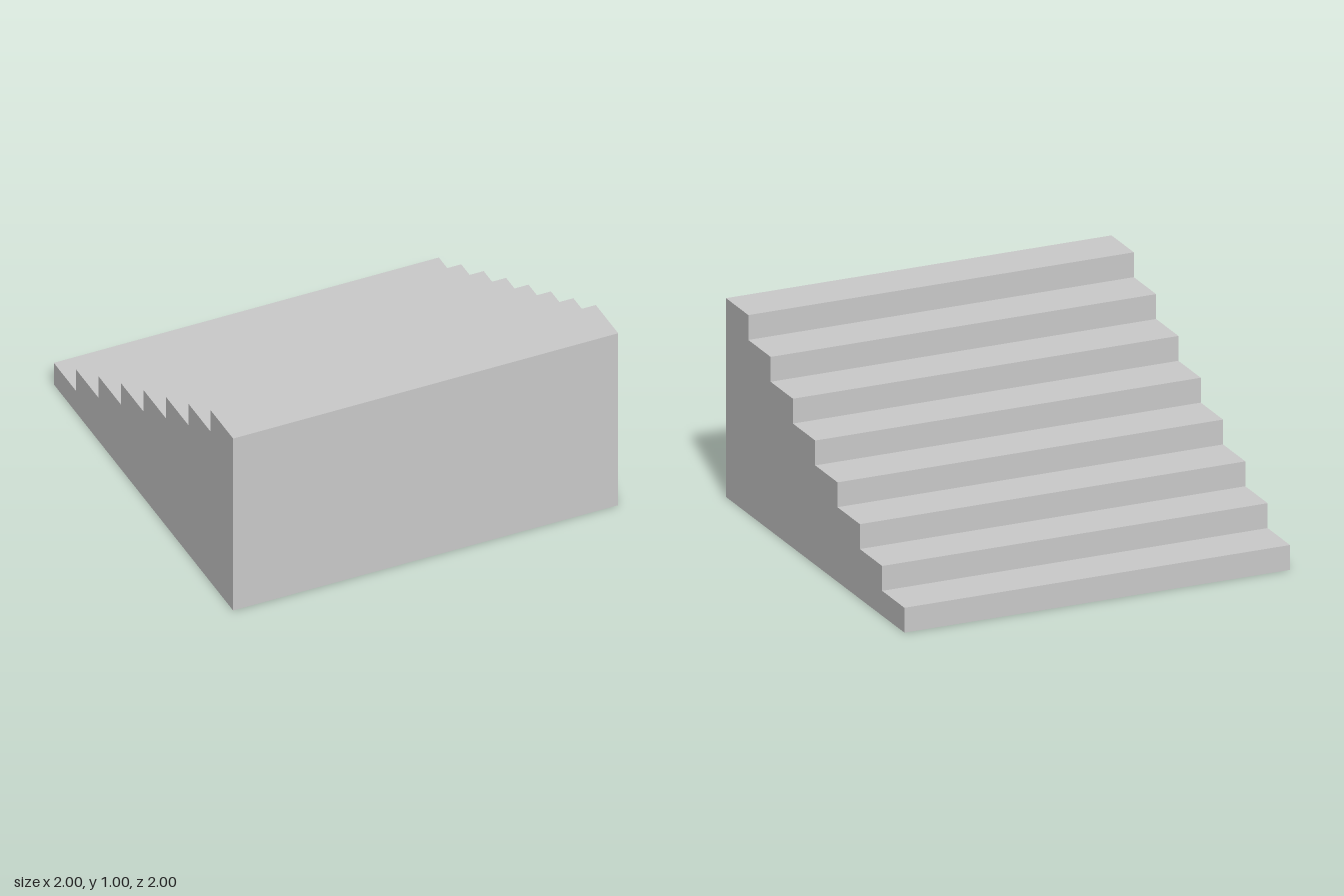
import * as THREE from 'three';

const STEPS = 8;
const WIDTH = 2;
const DEPTH = 2;
const HEIGHT = 1;

export function createModel() {
  const model = new THREE.Group();
  model.name = 'staircase';

  // Side profile: shape x becomes z, with the lowest step at the back
  const tread = DEPTH / STEPS;
  const riser = HEIGHT / STEPS;
  const profile = new THREE.Shape();
  profile.moveTo(-DEPTH / 2, 0);
  profile.lineTo(DEPTH / 2, 0);
  for (let i = STEPS; i > 0; i--) {
    profile.lineTo(-DEPTH / 2 + i * tread, i * riser);
    profile.lineTo(-DEPTH / 2 + (i - 1) * tread, i * riser);
  }
  profile.closePath();

  // Solid flight of steps, extruded across the width
  const geometry = new THREE.ExtrudeGeometry(profile, { depth: WIDTH, bevelEnabled: false });
  geometry.translate(0, 0, -WIDTH / 2);
  geometry.rotateY(-Math.PI / 2);

  const steps = new THREE.Mesh(
    geometry,
    new THREE.MeshStandardMaterial({ color: 0xcccccc, flatShading: true })
  );
  steps.name = 'steps';
  model.add(steps);

  return model;
}
